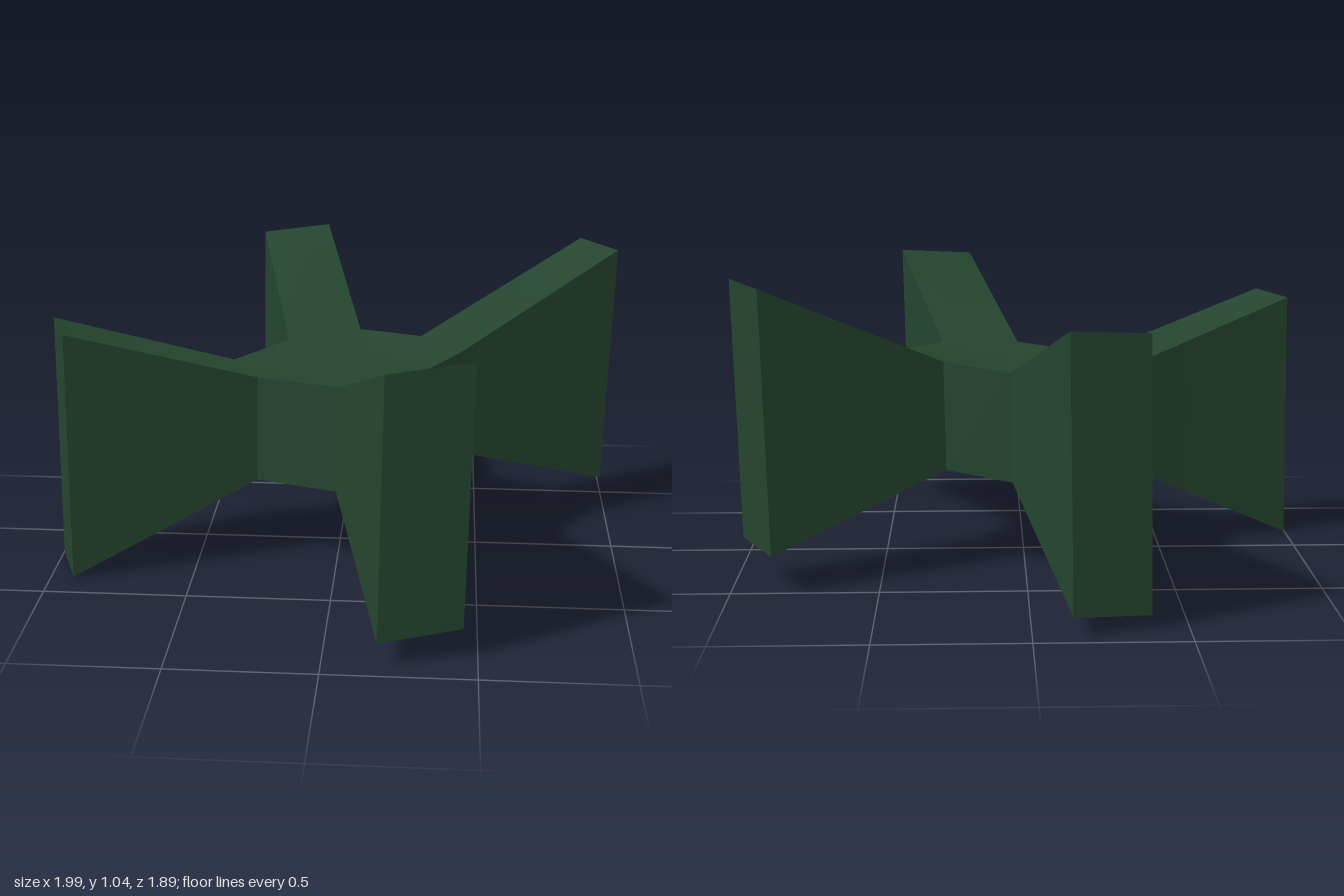
import * as THREE from 'three';
import { toCreasedNormals } from 'three/addons/utils/BufferGeometryUtils.js';

// Each arm in plan, clockwise from above: inner start, outer start, outer end, inner end (x, z)
const ARMS = {
  backArm: [[-0.21, -0.23], [-0.373, -0.88], [-0.12, -0.95], [0.05, -0.32]],
  leftArm: [[0.28, -0.20], [0.865, -0.52], [0.985, -0.315], [0.43, 0.0]],
  frontArm: [[0.29, 0.21], [0.46, 0.865], [0.187, 0.945], [0.01, 0.32]],
  rightArm: [[-0.28, 0.18], [-0.91, 0.395], [-0.99, 0.185], [-0.39, -0.03]],
};
const INNER_HALF = 0.193, OUTER_HALF = 0.449;

// Point on the tilted mid plane, moved up or down by dy
function lift([x, z], dy) {
  return [x + 0.018 * dy, 0.528 + 0.072 * x + dy, z];
}

export function createModel() {
  const group = new THREE.Group();
  const green = new THREE.MeshStandardMaterial({ color: 0x24452f });
  green.name = 'dark green';

  const positions = [];
  const tri = (...points) => points.forEach((p) => positions.push(...p));
  const quad = (a, b, c, d) => { tri(a, b, c); tri(a, c, d); };
  // Upright wall from a to b, going clockwise seen from above
  const wall = (a, ha, b, hb) =>
    quad(lift(a, ha), lift(b, hb), lift(b, -hb), lift(a, -ha));

  const arms = Object.values(ARMS);
  const rim = [];
  arms.forEach(([a, b, c, d], i) => {
    const I = INNER_HALF, O = OUTER_HALF;
    // Flared arm: top, bottom, two sides and the end face
    quad(lift(a, I), lift(d, I), lift(c, O), lift(b, O));
    quad(lift(a, -I), lift(b, -O), lift(c, -O), lift(d, -I));
    wall(a, I, b, O);
    wall(b, O, c, O);
    wall(c, O, d, I);
    // Hub wall to the next arm
    wall(d, I, arms[(i + 1) % arms.length][0], I);
    rim.push(a, d);
  });

  // Hub top and bottom
  const centre = [0.02, 0];
  rim.forEach((p, i) => {
    const q = rim[(i + 1) % rim.length];
    tri(lift(centre, INNER_HALF), lift(q, INNER_HALF), lift(p, INNER_HALF));
    tri(lift(centre, -INNER_HALF), lift(p, -INNER_HALF), lift(q, -INNER_HALF));
  });

  const geometry = new THREE.BufferGeometry();
  geometry.setAttribute('position', new THREE.Float32BufferAttribute(positions, 3));
  // Gentle bends stay smooth, corners stay sharp
  const mesh = new THREE.Mesh(toCreasedNormals(geometry, Math.PI / 6), green);
  mesh.name = 'fourArmedHub';
  group.add(mesh);
  group.name = 'flaredCross';
  return group;
}
